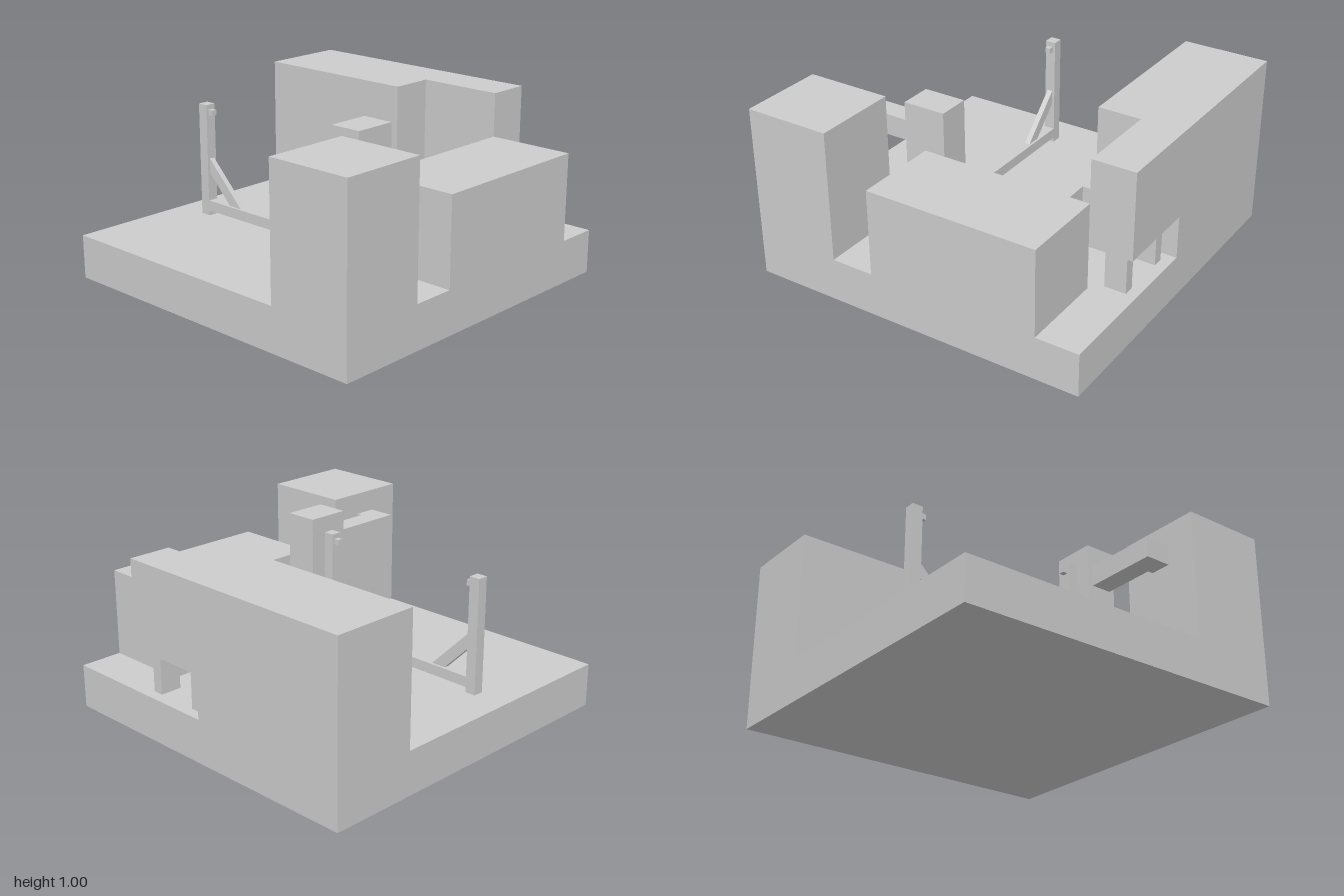
import * as THREE from 'three';

const stone = new THREE.MeshStandardMaterial({ color: 0xcccccc });
stone.name = 'light grey';

// Box given by its min and max on each axis
function box(parent, name, [x0, x1], [y0, y1], [z0, z1]) {
  const mesh = new THREE.Mesh(new THREE.BoxGeometry(x1 - x0, y1 - y0, z1 - z0), stone);
  mesh.name = name;
  mesh.position.set((x0 + x1) / 2, (y0 + y1) / 2, (z0 + z1) / 2);
  parent.add(mesh);
  return mesh;
}

// Half of the timber frame: post, peg and brace, built facing -z
function frameEnd(name) {
  const end = new THREE.Group();
  end.name = name;
  const X = [-0.285, -0.223], thin = [-0.27, -0.238];
  box(end, 'post', X, [0.25, 0.906], [0.5, 0.5625]);
  box(end, 'peg', thin, [0.845, 0.877], [0.469, 0.5]);
  // diagonal brace between rail and post
  const profile = new THREE.Shape();
  [[0.25, 0.34], [0.5, 0.59], [0.5, 0.502], [0.338, 0.34]].forEach(([z, y], i) =>
    i ? profile.lineTo(-z, y) : profile.moveTo(-z, y));
  const brace = new THREE.Mesh(
    new THREE.ExtrudeGeometry(profile, { depth: 0.032, bevelEnabled: false }), stone);
  brace.name = 'brace';
  brace.rotation.y = Math.PI / 2;
  brace.position.x = thin[0];
  end.add(brace);
  return end;
}

export function createModel() {
  const model = new THREE.Group();
  model.name = 'courtyard';

  box(model, 'base', [-1, 1], [0, 0.25], [-1, 1]);

  // Front blocks with a gap between them
  box(model, 'cornerBlock', [-1, -0.5], [0.25, 1], [0.5, 1]);
  box(model, 'frontBlock', [-0.25, 0.75], [0.25, 0.75], [0.5, 1]);

  // Side wall, with an overhang carried by two posts
  box(model, 'sideWall', [0.5, 1], [0.25, 1], [-1, 0]);
  box(model, 'overhang', [0.75, 1], [0.5, 1], [0, 0.5]);
  for (const z of [0.0625, 0.375])
    box(model, 'overhangPost', [0.8125, 0.9375], [0.25, 0.5], [z, z + 0.0625]);

  // Low L-shaped bench
  box(model, 'bench', [0.1875, 0.3125], [0.25, 0.375], [-0.3125, 0.5]);
  box(model, 'benchReturn', [0.3125, 0.5], [0.25, 0.375], [-0.3125, -0.19]);

  // Raised box joined to the corner block by a bent arm
  box(model, 'raisedBox', [-0.375, -0.128], [0.627, 1], [0.3125, 0.5]);
  box(model, 'arm', [-0.8125, -0.375], [0.755, 0.875], [0.344, 0.467]);
  box(model, 'armReturn', [-0.8125, -0.6875], [0.755, 0.875], [0.467, 0.5]);

  // Timber frame: rail and two mirrored ends
  const frame = new THREE.Group();
  frame.name = 'timberFrame';
  frame.position.z = -0.25;
  box(frame, 'rail', [-0.285, -0.223], [0.28, 0.34], [-0.5, 0.5]);
  const near = frameEnd('frontEnd');
  const far = frameEnd('backEnd');
  far.rotation.y = Math.PI;
  far.position.x = 2 * -0.254;
  frame.add(near, far);
  model.add(frame);

  return model;
}
